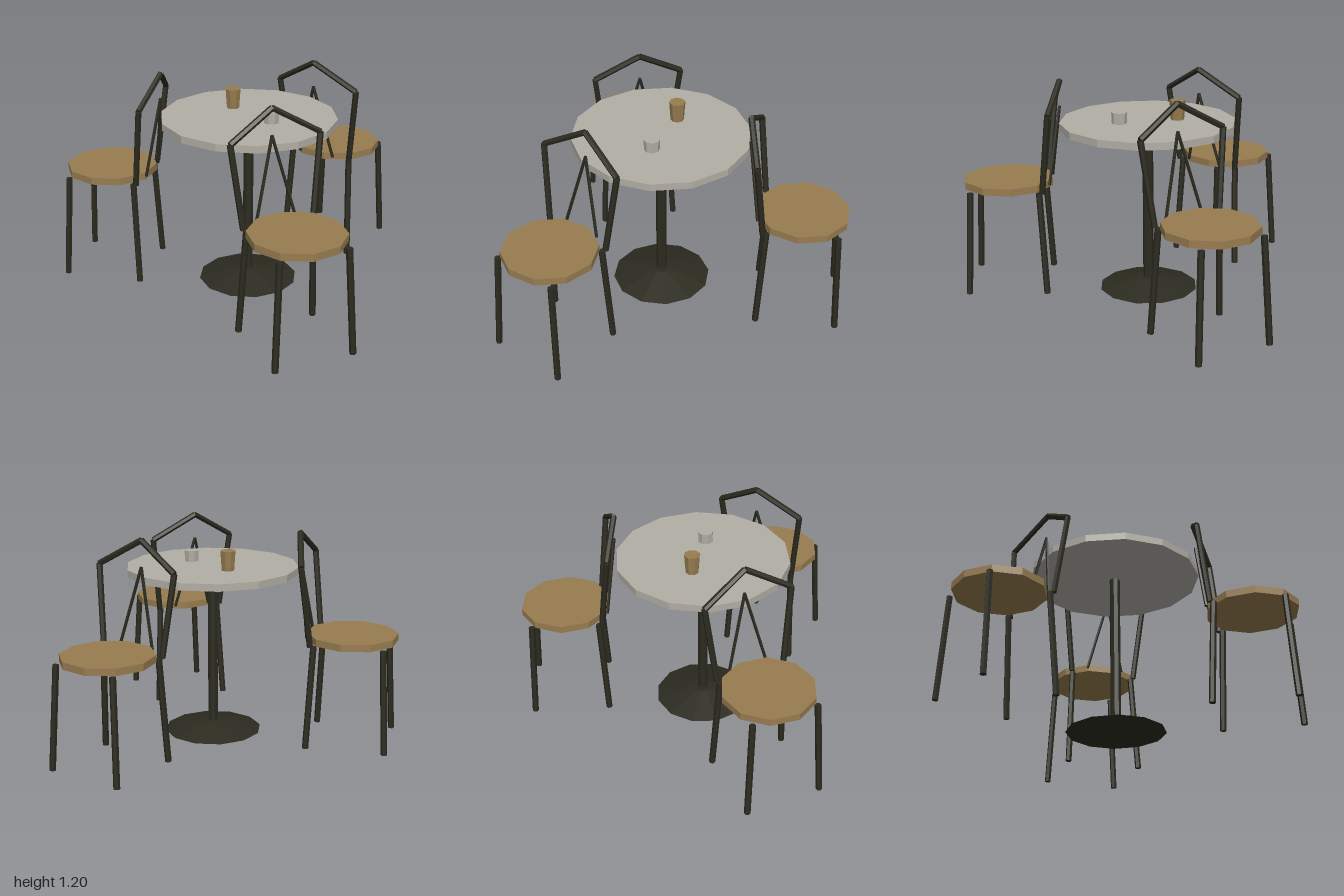
import * as THREE from 'three';

const flat = (name, color) => {
  const m = new THREE.MeshStandardMaterial({ color, flatShading: true });
  m.name = name;
  return m;
};

export function createModel() {
  const metal = flat('dark metal', 0x2b2b20);
  const wood = flat('tan wood', 0x987c50);
  const stone = flat('pale grey', 0xb2aea5);

  const V = (x, y, z) => new THREE.Vector3(x, y, z);

  // Upright drum between two heights
  function drum(name, mat, rTop, rBottom, y0, y1, sides, x = 0, z = 0) {
    const mesh = new THREE.Mesh(new THREE.CylinderGeometry(rTop, rBottom, y1 - y0, sides), mat);
    mesh.position.set(x, (y0 + y1) / 2, z);
    mesh.name = name;
    return mesh;
  }

  // Straight rod between two points
  function rod(name, a, b, r, sides = 6) {
    const dir = b.clone().sub(a);
    const mesh = new THREE.Mesh(new THREE.CylinderGeometry(r, r, dir.length(), sides), metal);
    mesh.position.copy(a).add(b).multiplyScalar(0.5);
    mesh.quaternion.setFromUnitVectors(V(0, 1, 0), dir.normalize());
    mesh.name = name;
    return mesh;
  }

  // Chair with its backrest toward local +z
  function chair(x, z, angle) {
    const g = new THREE.Group();
    g.name = 'chair';
    const seat = drum('seat', wood, 0.257, 0.257, 0.59, 0.63, 10);
    seat.rotation.y = -angle;
    g.add(seat);
    const peak = V(0, 1.185, 0.305);
    for (const s of [-1, 1]) {
      for (const f of [-1, 1]) {
        g.add(rod('leg', V(s * 0.22, 0.003, f * 0.22), V(s * 0.19, 0.59, f * 0.19), 0.018));
      }
      const corner = V(s * 0.252, 1.04, 0.255);
      g.add(rod('backPost', V(s * 0.2, 0.59, 0.208), corner, 0.017));
      g.add(rod('backTopRail', corner, peak, 0.017));
      g.add(rod('backStrut', V(s * 0.11, 0.61, 0.24), V(0, 1.04, 0.3), 0.009, 5));
    }
    g.position.set(x, 0, z);
    g.rotation.y = angle;
    return g;
  }

  const model = new THREE.Group();
  model.name = 'cafeTableSet';

  // Table
  const table = new THREE.Group();
  table.name = 'table';
  table.position.set(0.116, 0, 0.03);
  table.add(
    drum('tableTop', stone, 0.49, 0.49, 0.94, 0.98, 14),
    drum('pedestal', metal, 0.03, 0.03, 0.04, 0.94, 8),
    drum('pedestalBase', metal, 0.06, 0.28, 0, 0.055, 12)
  );
  model.add(table);

  // Cups
  model.add(
    drum('tallCup', wood, 0.045, 0.037, 0.98, 1.09, 8, -0.016, -0.072),
    drum('shortCup', stone, 0.044, 0.042, 0.98, 1.042, 8, 0.27, 0.095)
  );

  // Chairs, given by position and the direction of the backrest
  for (const [x, z, dx, dz] of [
    [-0.68, 0.142, 0.991, -0.13],
    [0.414, -0.712, -0.223, 0.975],
    [0.609, 0.66, -0.707, -0.707],
  ]) {
    model.add(chair(x, z, Math.atan2(dx, dz)));
  }
  return model;
}
